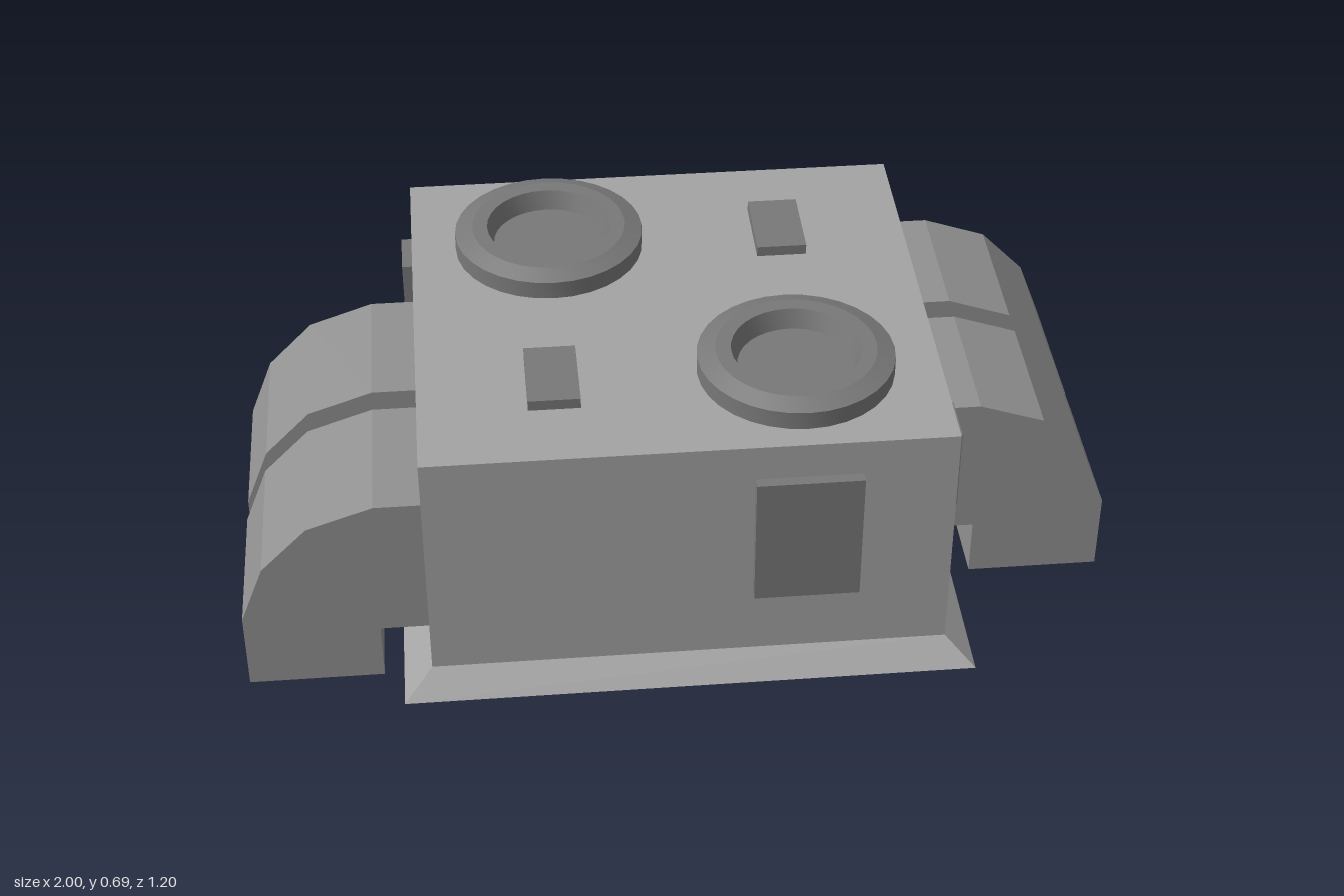
import * as THREE from 'three';
import { toCreasedNormals } from 'three/addons/utils/BufferGeometryUtils.js';

const bodyMaterial = new THREE.MeshStandardMaterial({ color: 0xa3a3a3, flatShading: true });
const ductMaterial = new THREE.MeshStandardMaterial({ color: 0x919191, flatShading: true });
const panelMaterial = new THREE.MeshStandardMaterial({ color: 0x787878, flatShading: true });
const hatchMaterial = new THREE.MeshStandardMaterial({ color: 0x787878 });

function add(parent, name, geometry, material) {
  const mesh = new THREE.Mesh(geometry, material);
  mesh.name = name;
  parent.add(mesh);
  return mesh;
}

// Box given by its minimum and maximum corners
function block(parent, name, material, [x0, y0, z0], [x1, y1, z1]) {
  const mesh = add(parent, name, new THREE.BoxGeometry(x1 - x0, y1 - y0, z1 - z0), material);
  mesh.position.set((x0 + x1) / 2, (y0 + y1) / 2, (z0 + z1) / 2);
}

// Box whose bottom edge flares outwards
function flaredSkirt() {
  const geometry = new THREE.BoxGeometry(2, 0.056, 2).translate(0, 0.028, 0);
  const p = geometry.attributes.position;
  for (let i = 0; i < p.count; i++) {
    const low = p.getY(i) < 0.01;
    p.setX(i, p.getX(i) * (low ? 0.65 : 0.585));
    p.setZ(i, p.getZ(i) * (low ? 0.602 : 0.545));
  }
  geometry.computeVertexNormals();
  return geometry;
}

// Faceted duct that curves down from the wall to the ground
function ductGeometry(depth) {
  const outline = [[0.575, 0.14], [0.695, 0.14], [0.695, 0], [1, 0], [1, 0.19],
    [0.945, 0.332], [0.84, 0.44], [0.69, 0.492], [0.575, 0.492]];
  const shape = new THREE.Shape(outline.map(([x, y]) => new THREE.Vector2(x, y)));
  return new THREE.ExtrudeGeometry(shape, { depth, bevelEnabled: false });
}

// Chamfered ring, from the outer wall over the rim and down the inner wall
function hatchRing() {
  const profile = [[0.221, 0.63], [0.221, 0.678], [0.18, 0.693], [0.145, 0.693], [0.13, 0.648]];
  const points = profile.map(([r, y]) => new THREE.Vector2(r, y));
  return toCreasedNormals(new THREE.LatheGeometry(points, 32), 0.3);
}

// Everything that repeats after a half turn about the vertical axis
function halfDetails() {
  const half = new THREE.Group();
  for (const [z0, z1] of [[-0.499, -0.15], [-0.086, 0.264]]) {
    add(half, 'sideDuct', ductGeometry(z1 - z0), ductMaterial).position.z = z0;
  }

  const hatch = new THREE.Group();
  hatch.name = 'roofHatch';
  hatch.position.set(0.26, 0, 0.268);
  add(hatch, 'hatchRing', hatchRing(), hatchMaterial);
  const floor = new THREE.CircleGeometry(0.13, 32).rotateX(-Math.PI / 2);
  add(hatch, 'hatchFloor', floor, hatchMaterial).position.y = 0.648;
  half.add(hatch);

  block(half, 'wallPanel', panelMaterial, [0.14, 0.225, 0.535], [0.377, 0.548, 0.57]);
  block(half, 'sidePanel', panelMaterial, [0.575, 0.356, 0.322], [0.612, 0.554, 0.44]);
  block(half, 'roofPanel', panelMaterial, [0.226, 0.625, -0.37], [0.342, 0.66, -0.174]);
  return half;
}

export function createModel() {
  const model = new THREE.Group();
  model.name = 'bunker';

  block(model, 'body', bodyMaterial, [-0.585, 0.056, -0.545], [0.585, 0.635, 0.545]);
  add(model, 'baseSkirt', flaredSkirt(), bodyMaterial);

  // Details on one half, then repeated by a half turn
  for (const [name, angle] of [['leftDetails', 0], ['rightDetails', Math.PI]]) {
    const half = halfDetails();
    half.name = name;
    half.rotation.y = angle;
    model.add(half);
  }
  return model;
}
